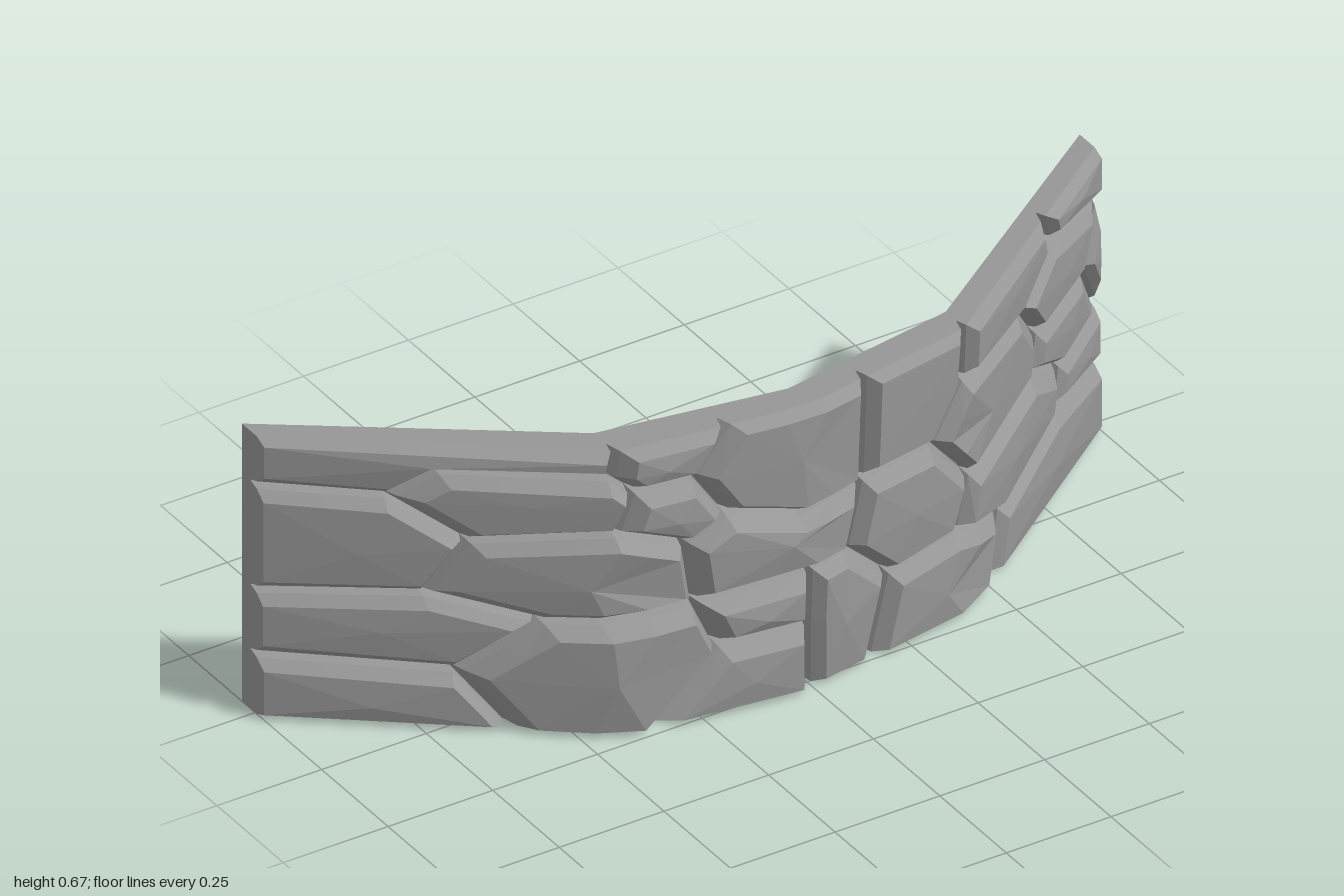
import * as THREE from 'three';

const HEIGHT = 0.667;

// Plan of the curved wall: x, z of the back, thickness in z
const PLAN = [
  [-1, -0.30, 0.08], [-0.42, 0.11, 0.12], [0, 0.18, 0.105], [0.42, 0.11, 0.1], [1, -0.30, 0.08],
];

// z at a given x, where t runs from the back (0) to the stone faces (1)
function wallZ(x, t) {
  let i = 0;
  while (i < PLAN.length - 2 && x > PLAN[i + 1][0]) i++;
  const [a, b] = [PLAN[i], PLAN[i + 1]];
  const f = (x - a[0]) / (b[0] - a[0]);
  return a[1] + (b[1] - a[1]) * f + t * (a[2] + (b[2] - a[2]) * f);
}

// Points where the mortar joints meet, as x, y
const JOINTS = [
  [-1, HEIGHT], [-0.42, HEIGHT], [-0.18, HEIGHT], [0.15, HEIGHT], [0.42, HEIGHT], [0.77, HEIGHT], [1, HEIGHT],
  [-1, 0.55], [-0.79, 0.54], [-0.71, 0.605], [-0.43, 0.605], [-0.385, 0.565], [-0.25, 0.565],
  [-0.42, 0.47], [-0.66, 0.44], [-0.18, 0.46], [-0.27, 0.41], [-0.02, 0.415], [0.14, 0.43],
  [0.33, 0.43], [0.41, 0.55], [0.66, 0.53], [0.79, 0.6], [1, 0.55], [0.94, 0.42], [0.73, 0.425],
  [0.71, 0.34], [0.83, 0.27], [1, 0.29], [0.43, 0.31], [0.39, 0.195], [0.81, 0.18], [1, 0.155],
  [0.56, 0.13], [0.52, 0], [1, 0], [0.21, 0.175], [0.16, 0], [0.1, 0.28], [0.005, 0.275],
  [0, 0.15], [-0.2, 0.15], [-0.25, 0.265], [-0.35, 0], [0, 0], [-0.54, 0.255], [-0.73, 0.31],
  [-1, 0.3], [-1, 0.145], [-0.68, 0.13], [-0.59, 0], [-1, 0],
];

// Stones as counter-clockwise loops of joints
const COURSES = {
  upperStones: [
    [0, 7, 8, 9, 10, 1], [1, 10, 11, 12, 2], [2, 12, 15, 17, 18, 3], [3, 18, 19, 20, 4],
    [4, 20, 21, 22, 5], [5, 22, 23, 6], [7, 47, 46, 14, 8], [8, 14, 13, 11, 10, 9], [11, 13, 16, 15, 12],
  ],
  middleStones: [
    [14, 46, 45, 42, 16, 13], [16, 42, 39, 38, 18, 17, 15], [18, 38, 36, 30, 29, 19],
    [20, 19, 29, 26, 25, 21], [21, 25, 24, 23, 22], [23, 24, 28], [25, 26, 27, 28, 24],
    [47, 48, 49, 45, 46], [49, 50, 43, 41, 42, 45],
  ],
  lowerStones: [
    [48, 51, 50, 49], [42, 41, 40, 39], [41, 43, 44, 40], [39, 40, 44, 37, 36, 38],
    [36, 37, 34, 33, 30], [29, 30, 33, 31, 27, 26], [27, 31, 32, 28], [33, 34, 35, 32, 31],
  ],
};

// Move every edge of a loop inwards, with its own distance on the rim of the wall
function inset(loop, distance, rimY) {
  const edges = loop.map((p, i) => {
    const q = loop[(i + 1) % loop.length];
    const dx = q[0] - p[0], dy = q[1] - p[1], len = Math.hypot(dx, dy);
    const onEnd = Math.abs(p[0]) === 1 && p[0] === q[0];
    const onRim = p[1] === q[1] && (p[1] === 0 || p[1] === HEIGHT);
    return { nx: -dy / len, ny: dx / len, d: onEnd ? 0 : onRim ? rimY : distance };
  });
  return loop.map((p, i) => {
    const a = edges[(i + loop.length - 1) % loop.length], b = edges[i];
    const det = a.nx * b.ny - a.ny * b.nx;
    if (Math.abs(det) < 0.1) return [p[0] + a.nx * a.d, p[1] + a.ny * a.d];
    return [p[0] + (a.d * b.ny - b.d * a.ny) / det, p[1] + (a.nx * b.d - b.nx * a.d) / det];
  });
}

// One chipped stone: steep joint side, bevel and faceted face
function stoneGeometry(loop, seed) {
  const rand = (k) => {
    const s = Math.sin(seed * 12.9898 + k * 78.233) * 43758.5453;
    return s - Math.floor(s);
  };
  const counts = loop.map((p, i) => {
    const q = loop[(i + 1) % loop.length];
    return Math.max(1, Math.ceil(Math.hypot(q[0] - p[0], q[1] - p[1]) / 0.13));
  });
  const top = 0.96 + rand(1) * 0.12;
  const ring = (corners, depth) => {
    const pts = [];
    corners.forEach((p, i) => {
      const q = corners[(i + 1) % corners.length];
      for (let k = 0; k < counts[i]; k++) {
        const f = k / counts[i];
        const x = p[0] + (q[0] - p[0]) * f;
        pts.push([x, p[1] + (q[1] - p[1]) * f, wallZ(x, depth)]);
      }
    });
    return pts;
  };
  const rings = [
    ring(loop, 0.38),
    ring(inset(loop, 0.009, 0), 0.7),
    ring(inset(loop, 0.03, 0.012), top),
  ];
  const face = rings[2], n = face.length;
  const cx = face.reduce((s, p) => s + p[0], 0) / n + (rand(2) - 0.5) * 0.03;
  const cy = face.reduce((s, p) => s + p[1], 0) / n + (rand(3) - 0.5) * 0.02;
  const centre = [cx, cy, wallZ(cx, top + 0.02 + rand(4) * 0.08)];
  const pos = [];
  for (let i = 0; i < n; i++) {
    const j = (i + 1) % n;
    for (let r = 0; r < 2; r++) {
      const a = rings[r], b = rings[r + 1];
      pos.push(...a[i], ...a[j], ...b[j], ...a[i], ...b[j], ...b[i]);
    }
    pos.push(...face[i], ...face[j], ...centre);
  }
  const geo = new THREE.BufferGeometry();
  geo.setAttribute('position', new THREE.Float32BufferAttribute(pos, 3));
  geo.computeVertexNormals();
  return geo;
}

export function createModel() {
  const group = new THREE.Group();
  group.name = 'curvedStoneWall';
  const stone = new THREE.MeshStandardMaterial({ color: 0x969696, flatShading: true });
  stone.name = 'grey stone';

  // Smooth backing wall, which also forms the bottom of the joints
  const back = PLAN.map(([x, z]) => new THREE.Vector2(x, -z));
  const front = PLAN.map(([x]) => new THREE.Vector2(x, -wallZ(x, 0.4))).reverse();
  const backing = new THREE.ExtrudeGeometry(new THREE.Shape([...back, ...front]), {
    depth: HEIGHT, bevelEnabled: false,
  });
  backing.rotateX(-Math.PI / 2);
  const wall = new THREE.Mesh(backing, stone);
  wall.name = 'backingWall';
  group.add(wall);

  // Stone facing, course by course
  let seed = 1;
  for (const [name, stones] of Object.entries(COURSES)) {
    const course = new THREE.Group();
    course.name = name;
    for (const ids of stones) {
      const mesh = new THREE.Mesh(stoneGeometry(ids.map((i) => JOINTS[i]), seed++), stone);
      mesh.name = 'stone';
      course.add(mesh);
    }
    group.add(course);
  }
  return group;
}
